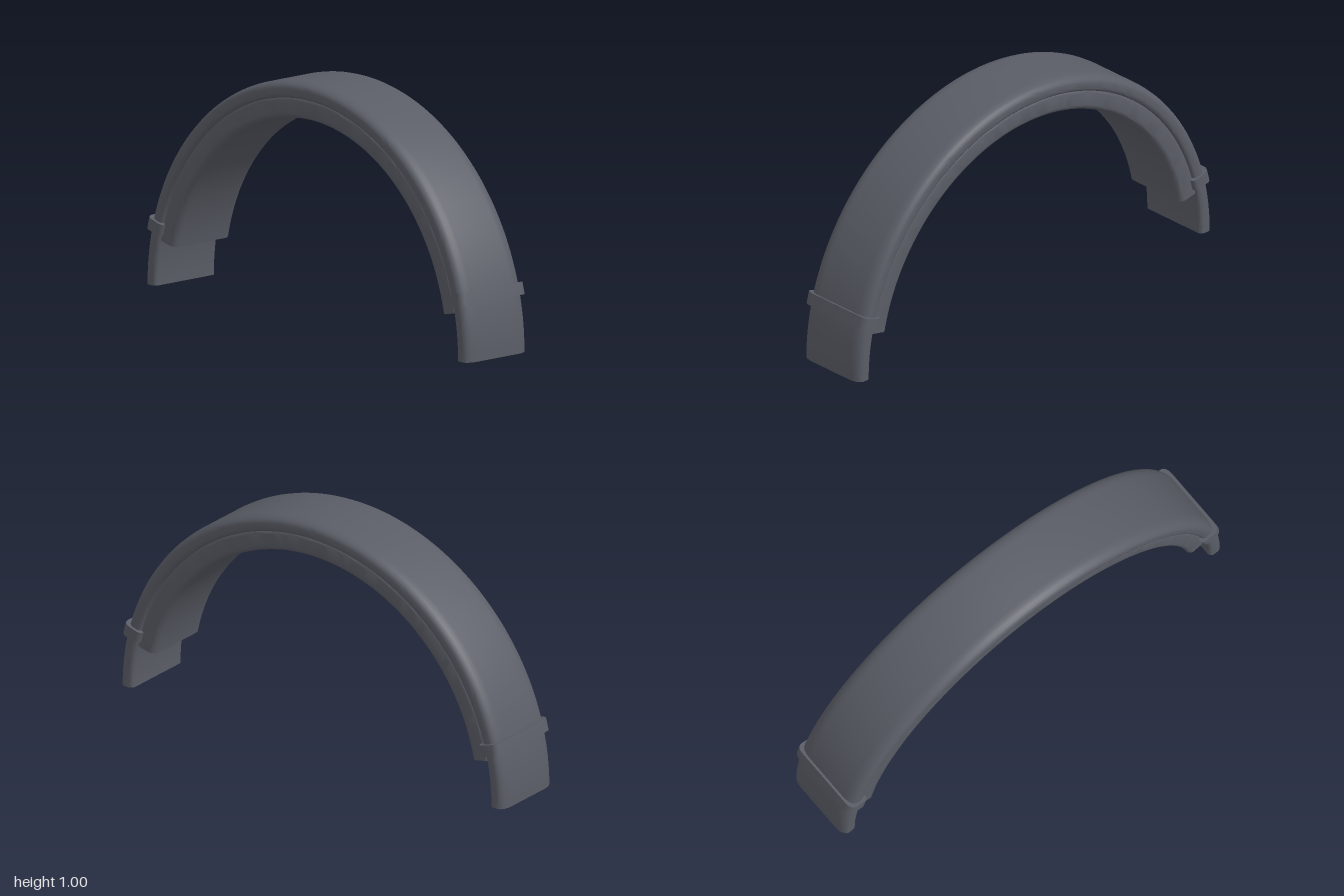
import * as THREE from 'three';
import { mergeGeometries, toCreasedNormals } from 'three/addons/utils/BufferGeometryUtils.js';

const DEG = Math.PI / 180;

// Closed cross-section (radius, width) with elliptical corners; the seam sits mid inner side
function crossSection(rIn, rOut, half, outer, inner, steps = 5) {
  const pts = [new THREE.Vector2(rIn, 0)];
  const corner = (r, w, [dr, dw], start) => {
    for (let i = 0; i <= steps; i++) {
      const a = start + (i / steps) * Math.PI / 2;
      pts.push(new THREE.Vector2(r + dr * Math.cos(a), w + dw * Math.sin(a)));
    }
  };
  corner(rIn + inner[0], -half + inner[1], inner, Math.PI);
  corner(rOut - outer[0], -half + outer[1], outer, 1.5 * Math.PI);
  corner(rOut - outer[0], half - outer[1], outer, 0);
  corner(rIn + inner[0], half - inner[1], inner, Math.PI / 2);
  return pts;
}

// Sweep a cross-section around the z axis between two angles from the top, and cap both ends
function arcSweep(profile, from, to, segments) {
  const body = new THREE.LatheGeometry([...profile, profile[0].clone()], segments, from, to - from);
  const cap = (phi, flip) => {
    const g = new THREE.ShapeGeometry(new THREE.Shape(profile));
    if (flip) g.index.array.reverse();
    return g.rotateY(phi - Math.PI / 2);
  };
  const merged = mergeGeometries([body, cap(from, false), cap(to, true)]);
  return toCreasedNormals(merged.rotateX(-Math.PI / 2), 0.6);
}

export function createModel() {
  const group = new THREE.Group();
  const darkGrey = new THREE.MeshStandardMaterial({ color: 0x5a5d66 });
  darkGrey.name = 'darkGrey';

  const add = (name, geometry) => {
    const mesh = new THREE.Mesh(geometry, darkGrey);
    mesh.name = name;
    group.add(mesh);
  };

  // Outer band: a full half circle with a softly crowned outside
  add('outerBand', arcSweep(
    crossSection(0.93, 1, 0.166, [0.03, 0.055], [0.02, 0.02]), -90 * DEG, 90 * DEG, 96));

  // Cushion under the band, ending short of the tips
  add('innerPad', arcSweep(
    crossSection(0.845, 0.938, 0.155, [0.02, 0.02], [0.025, 0.03]), -78 * DEG, 78 * DEG, 84));

  // Collar around the band near each tip
  const collar = crossSection(0.917, 1.011, 0.178, [0.028, 0.035], [0.02, 0.02]);
  add('leftCollar', arcSweep(collar, 73.3 * DEG, 76.3 * DEG, 2));
  add('rightCollar', arcSweep(collar, -76.3 * DEG, -73.3 * DEG, 2));

  return group;
}
